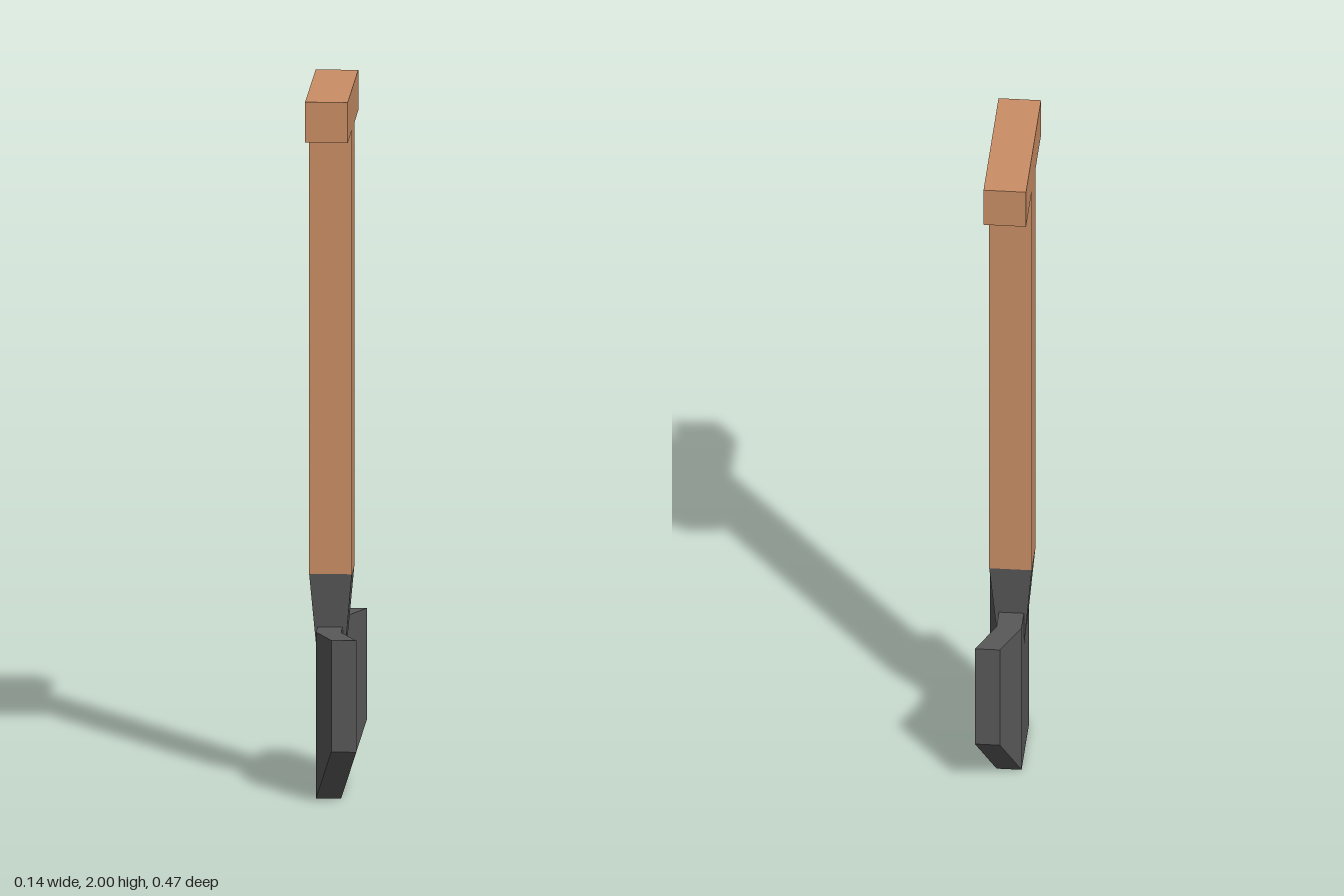
import * as THREE from 'three';

const wood = new THREE.MeshStandardMaterial({ color: 0xc98e65, flatShading: true });
const steel = new THREE.MeshStandardMaterial({ color: 0x585858, flatShading: true });

const SHAFT_X = -0.0135; // the shaft sits slightly behind the blade's rim
const SHAFT_W = 0.119, SHAFT_D = 0.112;

function box(name, w, h, d, y, material) {
  const mesh = new THREE.Mesh(new THREE.BoxGeometry(w, h, d), material);
  mesh.name = name;
  mesh.position.set(SHAFT_X, y, 0);
  return mesh;
}

// Blade: four cross-sections along z; the two wings bend toward +x
function bladeGeometry() {
  const thickness = 0.07, top = 0.472;
  const stations = [ // z, back x, bottom y
    [-0.235, 0, 0.155],
    [-0.118, -0.05, 0],
    [0.118, -0.05, 0],
    [0.235, 0, 0.155],
  ];
  const positions = [], index = [];
  for (const [z, x, y] of stations) {
    positions.push(x, y, z, x + thickness, y, z, x + thickness, top, z, x, top, z);
  }
  for (let i = 0; i < stations.length - 1; i++) {
    for (let j = 0; j < 4; j++) {
      const a = i * 4 + j, b = i * 4 + (j + 1) % 4;
      index.push(a, b, b + 4, a, b + 4, a + 4);
    }
  }
  const e = (stations.length - 1) * 4;
  index.push(0, 2, 1, 0, 3, 2, e, e + 1, e + 2, e, e + 2, e + 3); // end caps
  const indexed = new THREE.BufferGeometry();
  indexed.setAttribute('position', new THREE.Float32BufferAttribute(positions, 3));
  indexed.setIndex(index);
  const geometry = indexed.toNonIndexed();
  geometry.computeVertexNormals();
  return geometry;
}

export function createModel() {
  const group = new THREE.Group();
  group.name = 'shovel';

  // Wooden T-handle
  group.add(box('grip', SHAFT_W, 0.115, 0.47, 1.9425, wood));
  group.add(box('shaft', SHAFT_W, 1.26, SHAFT_D, 1.255, wood));

  // Tapered socket running down into the blade
  const neck = box('neck', SHAFT_W, 0.267, SHAFT_D, 0.4915, steel);
  const p = neck.geometry.attributes.position;
  for (let i = 0; i < p.count; i++) {
    if (p.getY(i) < 0) {
      p.setX(i, p.getX(i) * 0.6);
      p.setZ(i, p.getZ(i) * 0.6);
    }
  }
  neck.geometry.computeVertexNormals();
  group.add(neck);

  const blade = new THREE.Mesh(bladeGeometry(), steel);
  blade.name = 'blade';
  group.add(blade);

  return group;
}
